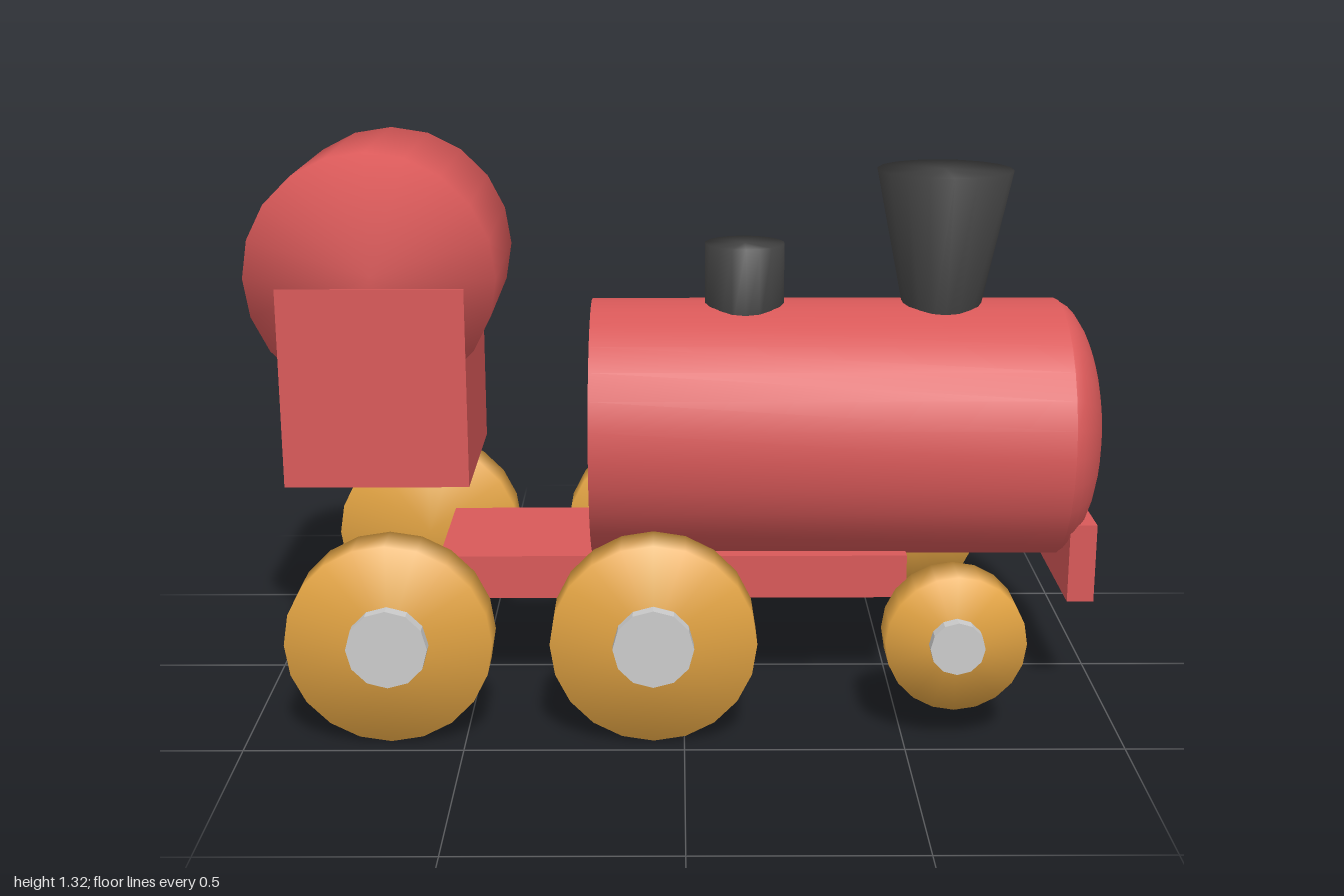
import * as THREE from 'three';
import { mergeVertices } from 'three/addons/utils/BufferGeometryUtils.js';

const red = new THREE.MeshStandardMaterial({ color: 0xd95959 });
const yellow = new THREE.MeshStandardMaterial({ color: 0xe3a443 });
const dark = new THREE.MeshStandardMaterial({ color: 0x444444 });
const grey = new THREE.MeshStandardMaterial({ color: 0xcccccc, flatShading: true });

// Cylinder whose normals blend softly over the rims
function softCylinder(rTop, rBottom, height, sides) {
  const g = new THREE.CylinderGeometry(rTop, rBottom, height, sides);
  g.deleteAttribute('normal');
  g.deleteAttribute('uv');
  const merged = mergeVertices(g);
  merged.computeVertexNormals();
  return merged;
}

export function createModel() {
  const model = new THREE.Group();
  model.name = 'toyTrain';

  const add = (name, geometry, material, x, y, z, parent = model) => {
    const mesh = new THREE.Mesh(geometry, material);
    mesh.name = name;
    mesh.position.set(x, y, z);
    parent.add(mesh);
    return mesh;
  };

  // Chassis and front bumper
  add('chassis', new THREE.BoxGeometry(1.11, 0.105, 0.37), red, -0.025, 0.303, 0);
  add('bumper', new THREE.BoxGeometry(0.063, 0.19, 0.43), red, 0.941, 0.345, 0);

  // Boiler with a shallow domed nose
  const boiler = softCylinder(0.31, 0.31, 1.115, 28).rotateZ(-Math.PI / 2);
  add('boiler', boiler, red, 0.338, 0.625, 0);
  const nose = new THREE.SphereGeometry(0.31, 28, 20).rotateZ(-Math.PI / 2);
  add('boilerNose', nose, red, 0.88, 0.625, 0).scale.x = 0.12 / 0.31;

  // Cab with a round roof lying across it
  add('cab', new THREE.BoxGeometry(0.43, 0.47, 0.45), red, -0.715, 0.775, 0);
  const roof = softCylinder(0.287, 0.287, 0.447, 20).rotateX(Math.PI / 2);
  add('cabRoof', roof, red, -0.713, 1.034, 0);

  // Chimney and steam dome, sunk into the boiler
  add('chimney', softCylinder(0.16, 0.08, 0.39, 18), dark, 0.615, 1.055, 0);
  add('steamDome', softCylinder(0.095, 0.095, 0.2, 18), dark, 0.145, 0.975, 0);

  // Wheels with hub caps, mirrored on both sides
  const wheels = [
    ['rearWheel', -0.67, 0.235, 0.092],
    ['middleWheel', -0.07, 0.235, 0.092],
    ['frontWheel', 0.615, 0.16, 0.062],
  ];
  for (const [name, x, radius, hubRadius] of wheels) {
    for (const side of [1, -1]) {
      const wheel = new THREE.Group();
      wheel.name = name + (side > 0 ? 'NearSide' : 'FarSide');
      wheel.position.set(x, 0.237, side * 0.3975);
      model.add(wheel);
      const tyre = softCylinder(radius, radius, 0.105, 20).rotateX(Math.PI / 2);
      add('wheelDisc', tyre, yellow, 0, 0, 0, wheel);
      const hub = new THREE.CylinderGeometry(hubRadius, hubRadius, 0.06, 12).rotateX(Math.PI / 2);
      add('hubCap', hub, grey, 0, 0, side * 0.0525, wheel);
    }
  }
  return model;
}
